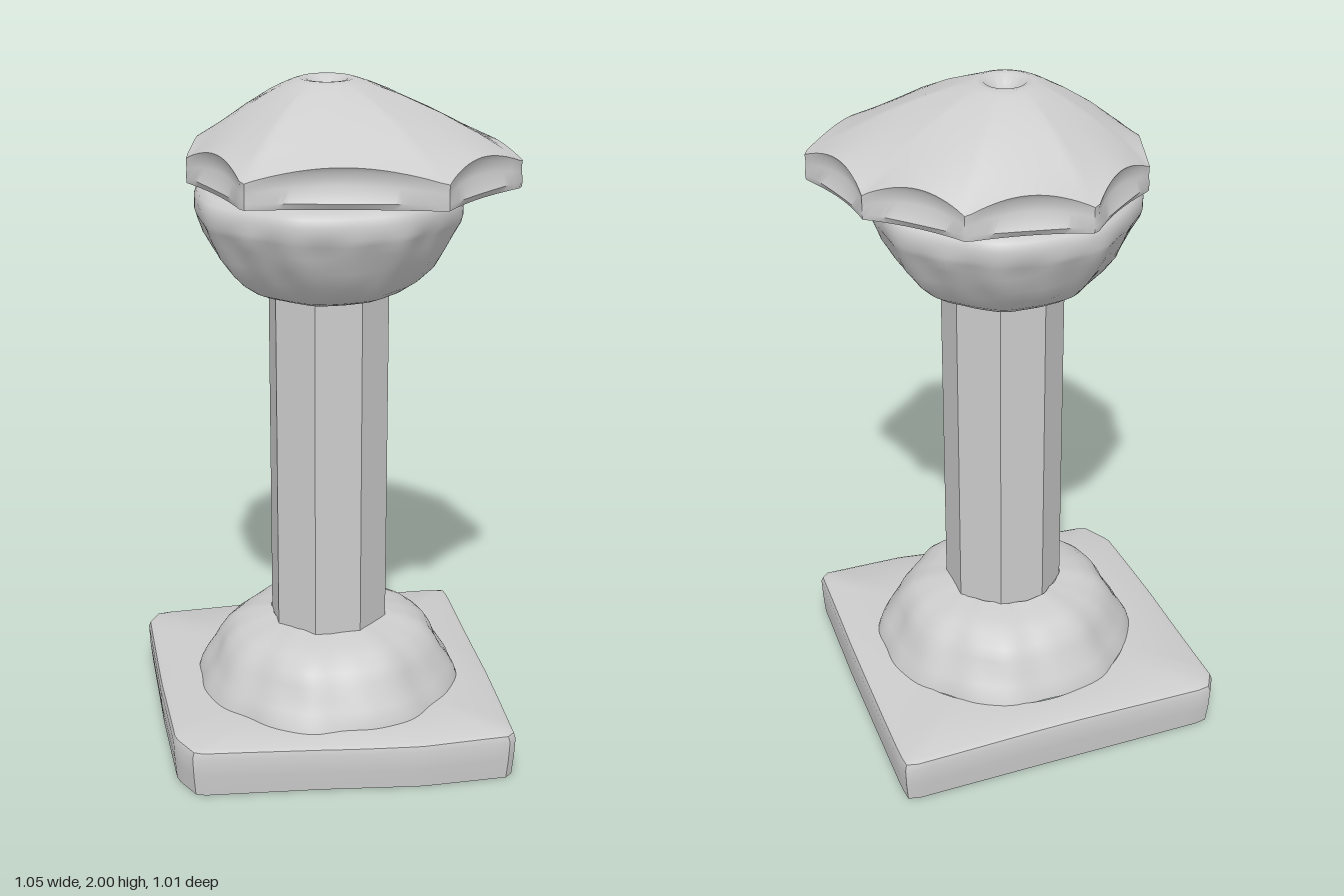
import * as THREE from 'three';
import { toCreasedNormals } from 'three/addons/utils/BufferGeometryUtils.js';

const SEG = 144;
const material = new THREE.MeshStandardMaterial({ color: 0xcccccc, side: THREE.DoubleSide });

// Skin over closed rings, listed from bottom to top; ring(angle) gives [radius, y].
function loft(name, rings, crease = 0.6) {
  const pos = [], index = [];
  rings.forEach((ring, j) => {
    for (let i = 0; i < SEG; i++) {
      const a = (i / SEG) * Math.PI * 2;
      const [r, y] = ring(a);
      pos.push(r * Math.cos(a), y, r * Math.sin(a));
      if (j === rings.length - 1) continue;
      const p = j * SEG + i, q = j * SEG + (i + 1) % SEG;
      index.push(p, p + SEG, q, q, p + SEG, q + SEG);
    }
  });
  const g = new THREE.BufferGeometry();
  g.setAttribute('position', new THREE.Float32BufferAttribute(pos, 3));
  g.setIndex(index);
  const mesh = new THREE.Mesh(toCreasedNormals(g, crease), material);
  mesh.name = name;
  return mesh;
}

// Distance from the centre to a polygon outline at an angle, and the position
// along that side (0 and 1 at its corners).
function outline(points, a) {
  const dx = Math.cos(a), dz = Math.sin(a);
  for (let i = 0; i < points.length; i++) {
    const [px, pz] = points[i], [qx, qz] = points[(i + 1) % points.length];
    const ex = qx - px, ez = qz - pz, d = dx * ez - dz * ex;
    const r = (px * ez - pz * ex) / d;
    const t = (px * dz - pz * dx) / d;
    if (r > 0 && t >= -1e-6 && t <= 1 + 1e-6) return { r, t };
  }
  return { r: 0, t: 0 };
}

// Softly eight-sided ring with a little hand-carved unevenness
const carved = (r, y, rough = 0) => a => [
  r * (1 - 0.016 * Math.cos(8 * a)) + rough * Math.sin(5 * a + 17 * y) * Math.sin(11 * a - 23 * y),
  y + rough * 0.5 * Math.sin(6 * a + 1),
];

export function createModel() {
  const model = new THREE.Group();
  model.name = 'stonePost';

  // Hollow square plinth with worn corners, open underneath
  const slab = [[0.505, -0.45], [0.5, -0.51], [0.1, -0.505], [-0.49, -0.5], [-0.525, -0.44],
    [-0.525, 0], [-0.515, 0.34], [-0.465, 0.44], [-0.1, 0.47], [0.2, 0.505], [0.48, 0.5], [0.495, 0.1]];
  const slabRing = (k, y) => a => [
    outline(slab, a).r * k, y + (y > 0 ? 0.004 * Math.sin(3 * a) : 0)];
  model.add(loft('plinth', [
    slabRing(0.985, 0), slabRing(0.995, 0.06), slabRing(1, 0.12), slabRing(0.99, 0.137),
    slabRing(0.96, 0.145), a => [0.39, 0.152],
  ]));

  // Flared moulding between plinth and shaft
  const flare = [[0.4, 0.148], [0.392, 0.17], [0.375, 0.2], [0.352, 0.235], [0.338, 0.265],
    [0.315, 0.3], [0.28, 0.33], [0.235, 0.347], [0.2, 0.355], [0.17, 0.362]];
  const base = loft('baseMoulding', flare.map(([r, y]) => carved(r, y, 0.004)), 1.2);
  base.position.z = 0.01;
  model.add(base);

  // Octagonal shaft with flats to the front and sides
  const shaft = new THREE.Mesh(
    new THREE.CylinderGeometry(0.179, 0.179, 1.07, 8, 1, true, Math.PI / 8),
    new THREE.MeshStandardMaterial({ color: 0xcccccc, side: THREE.DoubleSide, flatShading: true }));
  shaft.name = 'shaft';
  shaft.position.set(0.002, 0.885, 0.015);
  model.add(shaft);

  // Bowl-shaped capital
  const bowl = [[0.165, 1.4], [0.2, 1.398], [0.232, 1.412], [0.265, 1.435], [0.3, 1.475], [0.332, 1.525],
    [0.358, 1.575], [0.374, 1.612], [0.382, 1.63], [0.383, 1.665], [0.376, 1.688], [0.355, 1.7], [0.3, 1.705]];
  const capital = loft('capital', bowl.map(([r, y], i) =>
    carved(r, y, i > 3 && i < 8 ? 0.007 : 0.002)), 0.9);
  capital.position.z = 0.01;
  model.add(capital);

  // Roof-like cap: worn corners, scalloped sides and a dimple on top
  const corners = [[0.525, 0.2], [0.25, 0.44], [-0.29, 0.335], [-0.4, -0.02],
    [-0.34, -0.22], [-0.1, -0.42], [0.24, -0.35], [0.45, -0.12]];
  const eave = a => {
    const { r, t } = outline(corners, a);
    const s = Math.pow(Math.sin(Math.PI * Math.min(1, Math.max(0, t))), 0.8);
    return { r: r * (1 - 0.04 * s), s };
  };
  const rim = (inset, y, lift) => a => {
    const { r, s } = eave(a);
    return [r - inset * s, y + lift * s];
  };
  const roof = (k, y, lift = 0) => a => {
    const { r, s } = eave(a);
    return [0.1 + (r - 0.1) * k, y + lift * s];
  };
  const round = (r, y) => () => [r, y];
  model.add(loft('cap', [
    round(0.3, 1.702), round(0.345, 1.71), rim(0, 1.712, 0), rim(-0.012, 1.73, 0),
    rim(0.012, 1.755, 0.02), rim(0.008, 1.768, 0.045), rim(0, 1.78, 0.045),
    roof(0.93, 1.797, 0.04), roof(0.75, 1.848, 0.02), roof(0.5, 1.908, 0.008),
    roof(0.25, 1.957), roof(0.1, 1.98), round(0.1, 1.993), round(0.078, 2), round(0.058, 1.997),
    round(0.042, 1.978), round(0.02, 1.962), round(0.0005, 1.96),
  ], 0.75));

  return model;
}
